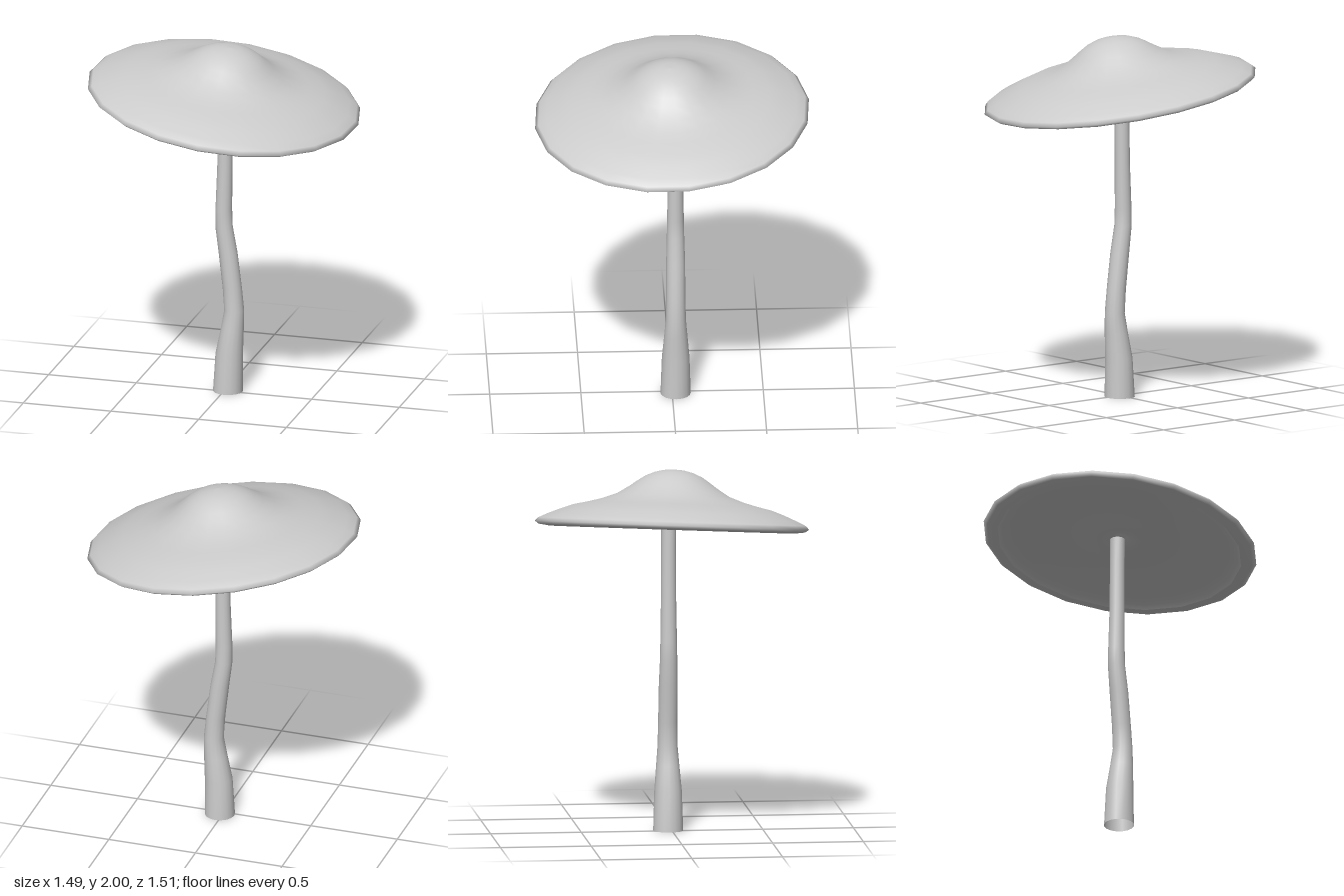
import * as THREE from 'three';

const material = new THREE.MeshStandardMaterial({ color: 0xcccccc, side: THREE.DoubleSide });

// Stem: horizontal rings [y, centre x, radius] along a slightly crooked line
function makeStem() {
  const rings = [
    [0, 0.018, 0.083], [0.22, 0.025, 0.076], [0.36, 0.042, 0.064], [0.47, 0.053, 0.055],
    [0.6, 0.042, 0.053], [0.8, 0.018, 0.052], [0.95, -0.005, 0.048], [1.05, -0.006, 0.046],
    [1.3, 0, 0.042], [1.56, 0.002, 0.041], [1.72, 0.004, 0.041],
  ];
  const geometry = new THREE.CylinderGeometry(1, 1, 1, 16, rings.length - 1, true);
  const p = geometry.attributes.position;
  for (let i = 0; i < p.count; i++) {
    const [y, x, r] = rings[Math.round((p.getY(i) + 0.5) * (rings.length - 1))];
    p.setXYZ(i, x + p.getX(i) * r, y, -0.019 + p.getZ(i) * r);
  }
  geometry.computeVertexNormals();
  // Match the normals on both sides of the seam
  const n = geometry.attributes.normal;
  for (let i = 0; i < p.count; i += 17) {
    const v = new THREE.Vector3().fromBufferAttribute(n, i);
    v.add(new THREE.Vector3().fromBufferAttribute(n, i + 16)).normalize();
    n.setXYZ(i, v.x, v.y, v.z);
    n.setXYZ(i + 16, v.x, v.y, v.z);
  }
  const stem = new THREE.Mesh(geometry, material);
  stem.name = 'stem';
  return stem;
}

// Lathed part of the cap from [radius, height] pairs
function makeCapPart(name, profile) {
  const points = profile.map(([r, h]) => new THREE.Vector2(r, h));
  const part = new THREE.Mesh(new THREE.LatheGeometry(points, 20, THREE.MathUtils.degToRad(5)), material);
  part.name = name;
  return part;
}

export function createModel() {
  const model = new THREE.Group();
  model.name = 'mushroom';

  // Cap: bell-shaped top with a turned-under rim and a shallow hollow beneath
  const cap = new THREE.Group();
  cap.name = 'cap';
  cap.add(
    makeCapPart('capTop', [
      [0.675, -0.02], [0.735, -0.012], [0.757, 0.004], [0.738, 0.024], [0.692, 0.046],
      [0.62, 0.076], [0.548, 0.102], [0.46, 0.122], [0.39, 0.141], [0.31, 0.17],
      [0.243, 0.212], [0.2, 0.243], [0.156, 0.272], [0.105, 0.294], [0.055, 0.306], [0, 0.31],
    ]),
    makeCapPart('capUnderside', [
      [0.03, 0.05], [0.06, 0.03], [0.11, 0.02], [0.2, 0.03], [0.3, 0.035],
      [0.45, 0.028], [0.6, 0.015], [0.655, 0], [0.675, -0.02],
    ]),
  );
  // Tilt the cap down towards +x and slightly forward
  cap.position.set(0, 1.69, 0);
  cap.quaternion.setFromUnitVectors(
    new THREE.Vector3(0, 1, 0),
    new THREE.Vector3(0.147, 1, 0.05).normalize(),
  );

  model.add(makeStem(), cap);
  return model;
}
